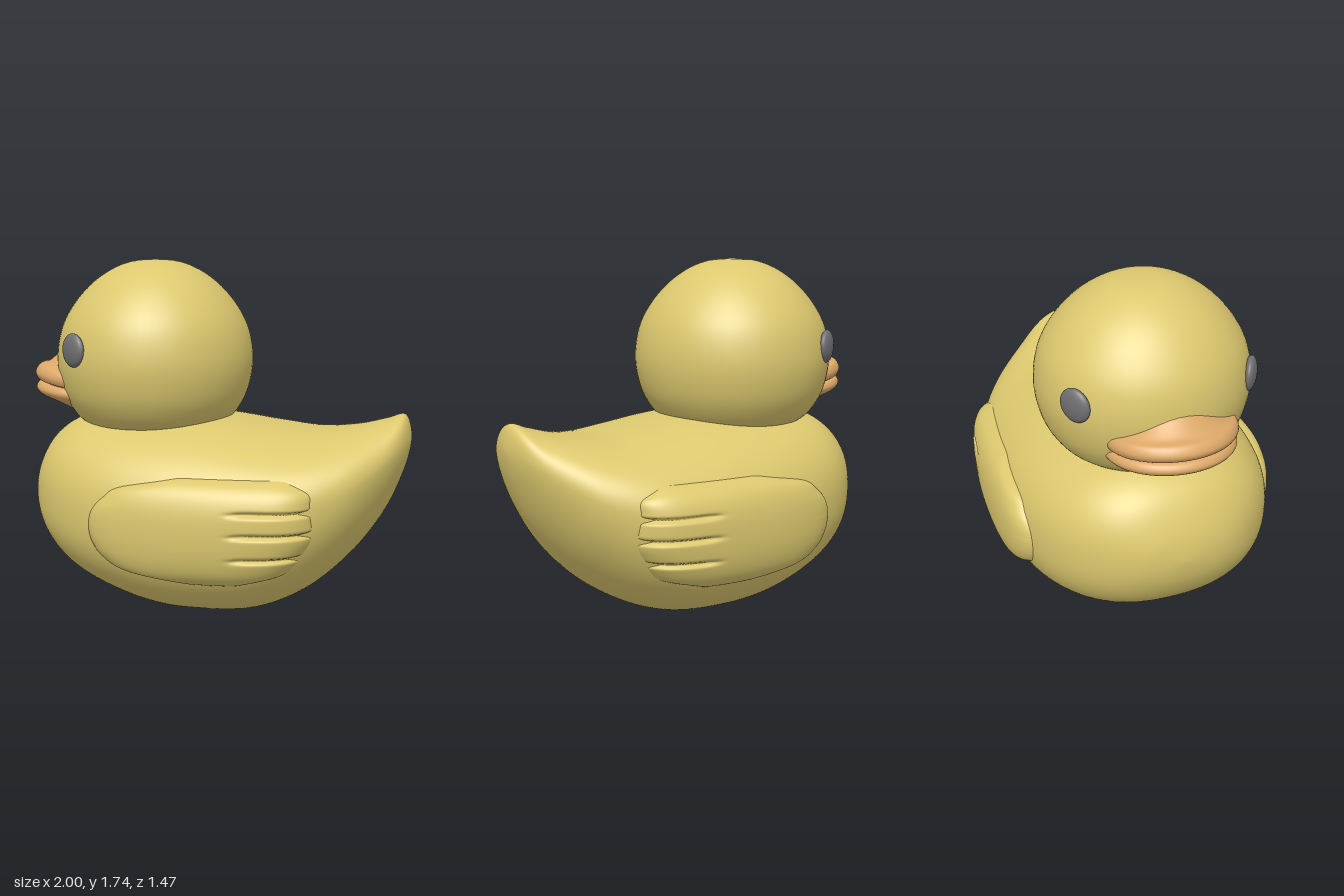
import * as THREE from 'three';
import { mergeVertices } from 'three/addons/utils/BufferGeometryUtils.js';

// Catmull-Rom through evenly spaced values, t in 0..1
function spline(vals, t) {
  const n = vals.length - 1, f = Math.min(Math.max(t, 0), 1) * n;
  const i = Math.min(Math.floor(f), n - 1), k = f - i;
  const p = (j) => vals[Math.min(Math.max(j, 0), n)];
  const a = p(i - 1), b = p(i), c = p(i + 1), d = p(i + 2);
  return b + 0.5 * k * (c - a + k * (2 * a - 5 * b + 4 * c - d + k * (3 * (b - c) + d - a)));
}

// Smooth surface from a grid of points
function grid(nu, nv, point) {
  const pos = [], index = [];
  for (let i = 0; i <= nu; i++) for (let j = 0; j <= nv; j++) pos.push(...point(i / nu, j / nv));
  for (let i = 0; i < nu; i++) {
    for (let j = 0; j < nv; j++) {
      const a = i * (nv + 1) + j, b = a + nv + 1;
      index.push(a, b, b + 1, a, b + 1, a + 1);
    }
  }
  const g = new THREE.BufferGeometry();
  g.setAttribute('position', new THREE.Float32BufferAttribute(pos, 3));
  g.setIndex(index);
  const merged = mergeVertices(g, 1e-5);
  merged.computeVertexNormals();
  return merged;
}

// Body cross-sections from breast to tail, spaced every 15 degrees of a half circle
const TOP = [0.54, 0.69, 0.85, 0.935, 0.957, 0.957, 0.945, 0.912, 0.89, 0.912, 0.952, 0.975, 0.86];
const MID = [0.54, 0.54, 0.53, 0.51, 0.49, 0.48, 0.48, 0.5, 0.55, 0.63, 0.74, 0.83, 0.86];
const LOW = [0.54, 0.39, 0.235, 0.11, 0.02, -0.045, -0.06, -0.03, 0.08, 0.26, 0.475, 0.7, 0.86];
const WIDE = [0, 0.22, 0.4, 0.54, 0.63, 0.675, 0.68, 0.66, 0.61, 0.49, 0.32, 0.16, 0];
const POWER = [2.1, 2.2, 2.3, 2.3, 2.3, 2.3, 2.3, 2.3, 2.2, 2, 1.8, 1.8, 2];

function bodyPoint(u, v) {
  const ang = v * Math.PI * 2, c = Math.cos(ang), s = Math.sin(ang), e = 2 / spline(POWER, u);
  const mid = spline(MID, u), h = s > 0 ? spline(TOP, u) - mid : mid - spline(LOW, u);
  const y = mid + Math.sign(s) * Math.pow(Math.abs(s), e) * h;
  const z = Math.sign(c) * Math.pow(Math.abs(c), e) * spline(WIDE, u);
  return [0.015 - 0.985 * Math.cos(u * Math.PI), Math.max(y, 0), z];
}

// Half width of the body at a given x and y
function bodySide(x, y) {
  const u = Math.acos((0.015 - x) / 0.985) / Math.PI, p = spline(POWER, u);
  const mid = spline(MID, u), h = y > mid ? spline(TOP, u) - mid : mid - spline(LOW, u);
  const k = Math.min(Math.abs(y - mid) / h, 1);
  return spline(WIDE, u) * Math.pow(1 - Math.pow(k, p), 1 / p);
}

// Wing: front and rear edge for evenly spaced heights, with three feather grooves
const WING_FRONT = [0.02, -0.32, -0.43, -0.475, -0.495, -0.495, -0.475, -0.42, -0.33, -0.05];
const WING_REAR = [0.25, 0.455, 0.525, 0.56, 0.595, 0.605, 0.6, 0.595, 0.585, 0.48];
const GROOVES = [0.35, 0.47, 0.575];

function wingGeometry(side) {
  return grid(56, 140, (a, b) => {
    const u = Math.sin((a - 0.5) * Math.PI) * side, v = Math.sin((b - 0.5) * Math.PI);
    const t = (v + 1) / 2, y = 0.195 + 0.525 * t;
    const cut = GROOVES.reduce((m, g) => Math.max(m, Math.exp(-(((y - g) / 0.011) ** 2))), 0);
    const x0 = spline(WING_FRONT, t), x1 = spline(WING_REAR, t) - 0.03 * cut;
    const x = x0 + (x1 - x0) * (u + 1) / 2;
    const edge = Math.sqrt(Math.max(0, (1 - Math.abs(u) ** 8) * (1 - Math.abs(v) ** 8)));
    const groove = 0.028 * cut * THREE.MathUtils.smoothstep(x, 0.2, 0.32);
    return [x, y, side * (bodySide(x, y) - 0.02 + 0.075 * edge - groove)];
  });
}

// Beak: half-ellipse rows from top to bottom [reach, half width, y at tip, y at side]
const BEAK = [
  [0.12, 0.18, 1.3, 1.19], [0.18, 0.23, 1.245, 1.175], [0.23, 0.28, 1.205, 1.165],
  [0.275, 0.31, 1.193, 1.15], [0.3, 0.322, 1.155, 1.12], [0.285, 0.312, 1.122, 1.09],
  [0.255, 0.295, 1.112, 1.08], [0.282, 0.31, 1.1, 1.07], [0.296, 0.318, 1.072, 1.045],
  [0.27, 0.3, 1.042, 1.02], [0.19, 0.25, 1.01, 0.99], [0.05, 0.19, 0.955, 0.955],
];

function beakPoint(u, v) {
  const [reach, wide, tipY, sideY] = [0, 1, 2, 3].map((k) => spline(BEAK.map((r) => r[k]), u));
  const a = (v - 0.5) * Math.PI, c = Math.cos(a);
  return [-0.7 - reach * c, sideY + (tipY - sideY) * c, wide * Math.sin(a)];
}

export function createModel() {
  const duck = new THREE.Group();
  duck.name = 'bathDuck';
  const material = (name, color) => {
    const m = new THREE.MeshStandardMaterial({ color });
    m.name = name;
    return m;
  };
  const yellow = material('yellow', 0xdcc86e);
  const orange = material('orange', 0xdca868);
  const grey = material('grey', 0x707072);
  const add = (name, geometry, mat) => {
    const m = new THREE.Mesh(geometry, mat);
    m.name = name;
    duck.add(m);
    return m;
  };

  add('body', grid(120, 112, bodyPoint), yellow);

  // Head, slightly narrower along x
  const profile = [[0.2, 0.84], [0.38, 0.9], [0.47, 1], [0.515, 1.12], [0.527, 1.25], [0.5, 1.39],
    [0.435, 1.51], [0.34, 1.615], [0.23, 1.69], [0.12, 1.73], [0, 1.74]];
  const curve = new THREE.SplineCurve(profile.map(([r, y]) => new THREE.Vector2(r, y)));
  const points = curve.getPoints(60);
  points[60].x = 0;
  const head = add('head', new THREE.LatheGeometry(points, 72), yellow);
  head.position.x = -0.345;
  head.scale.x = 0.968;

  const beak = add('beak', grid(66, 48, beakPoint), orange);
  beak.material.side = THREE.DoubleSide;

  // Mirrored wings and eyes
  for (const side of [1, -1]) {
    const label = side > 0 ? 'left' : 'right';
    add(label + 'Wing', wingGeometry(side), yellow);
    const eye = add(label + 'Eye', new THREE.SphereGeometry(1, 32, 20), grey);
    eye.scale.set(0.083, 0.085, 0.032);
    eye.position.set(-0.632, 1.295, 0.435 * side);
    eye.rotation.y = Math.atan2(-0.55, 0.835 * side);
  }
  return duck;
}
